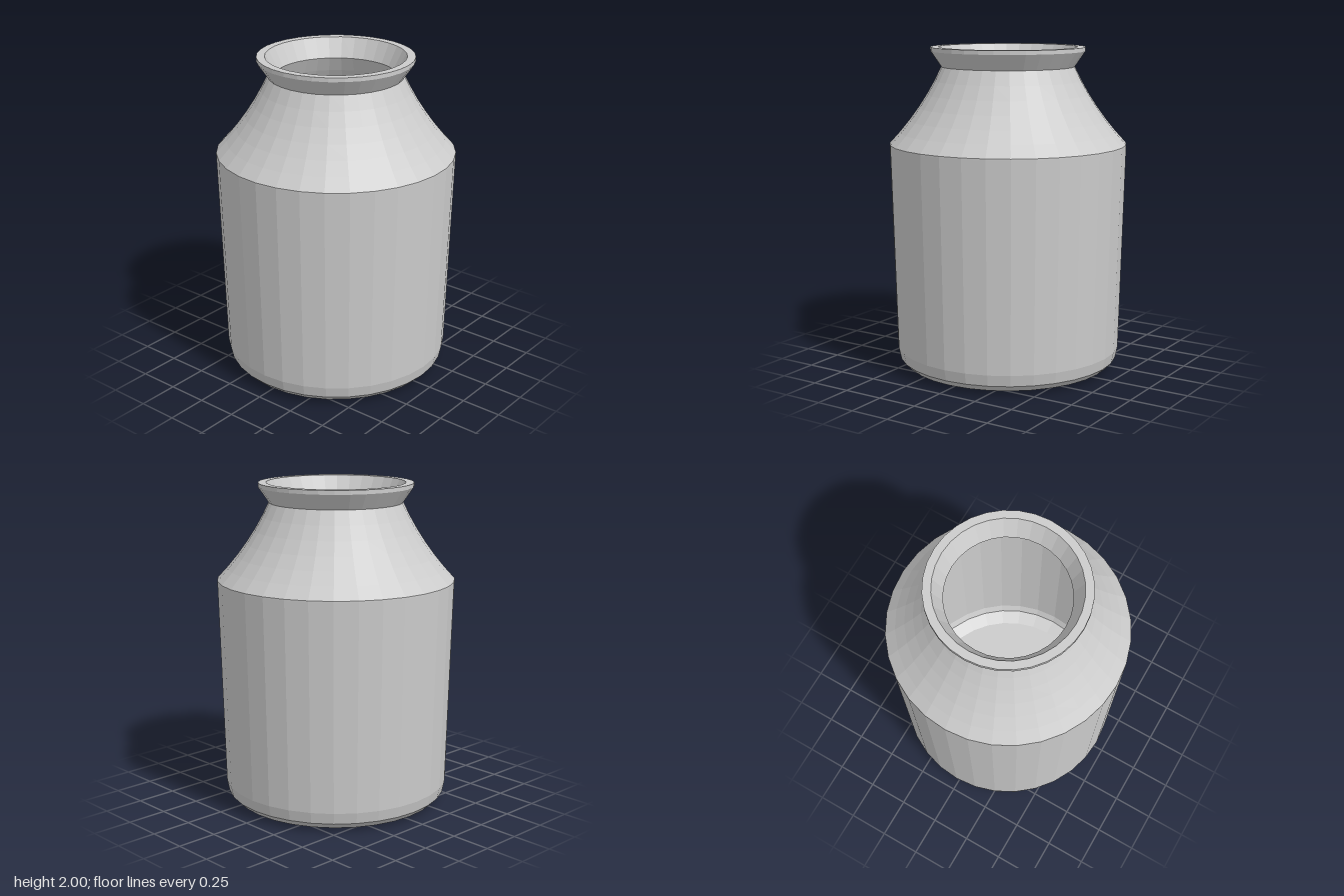
import * as THREE from 'three';

const SIDES = 32;

// Concave shoulder between a wide lower ring and the narrow neck
function shoulder(r0, y0, rc, yc, r1, y1) {
  return new THREE.QuadraticBezierCurve(
    new THREE.Vector2(r0, y0), new THREE.Vector2(rc, yc), new THREE.Vector2(r1, y1)
  ).getPoints(6).map((p) => [p.x, p.y]);
}

function lathe(name, profile) {
  const geometry = new THREE.LatheGeometry(profile.map(([r, y]) => new THREE.Vector2(r, y)), SIDES);
  const material = new THREE.MeshStandardMaterial({ color: 0xcccccc, flatShading: true });
  const mesh = new THREE.Mesh(geometry, material);
  mesh.name = name;
  return mesh;
}

export function createModel() {
  const group = new THREE.Group();
  group.name = 'jar';

  // Outer wall: rounded base, slightly flaring body, concave shoulder
  const outer = [
    [0, 0], [0.57, 0], [0.645, 0.02], [0.685, 0.06], [0.7, 0.13], [0.732, 1.4],
    ...shoulder(0.732, 1.41, 0.53, 1.62, 0.41, 1.88),
  ];

  // Flared lip with a flat rim
  const lip = [[0.41, 1.88], [0.475, 1.975], [0.475, 2], [0.425, 2], [0.365, 1.88]];

  // Inner wall follows the outer one down to the floor
  const inner = [
    ...shoulder(0.69, 1.39, 0.49, 1.6, 0.365, 1.88).reverse(),
    [0.66, 0.13], [0.64, 0.08], [0.56, 0.04], [0, 0.04],
  ];

  group.add(lathe('outerWall', outer), lathe('lip', lip), lathe('innerWall', inner));
  return group;
}
